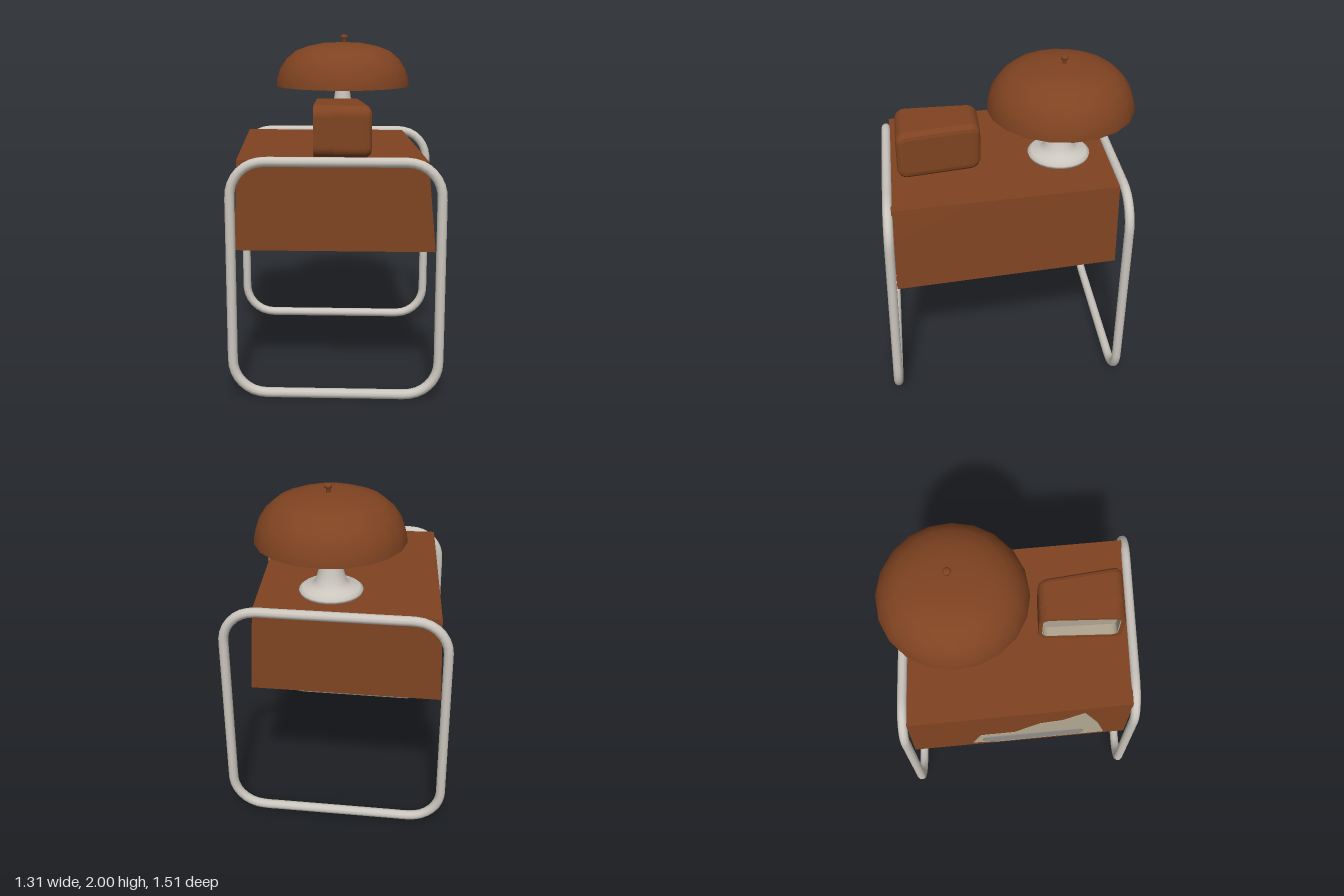
import * as THREE from 'three';

const mat = (name, color, side = THREE.FrontSide) => {
  const m = new THREE.MeshStandardMaterial({ color, side });
  m.name = name;
  return m;
};

const lerp = THREE.MathUtils.lerp;

// Rounded rectangle, usable as an outline or a hole
function roundRect(x0, y0, x1, y1, r, Type = THREE.Shape) {
  const s = new Type();
  s.moveTo(x0 + r, y0);
  s.lineTo(x1 - r, y0);
  s.absarc(x1 - r, y0 + r, r, -Math.PI / 2, 0);
  s.lineTo(x1, y1 - r);
  s.absarc(x1 - r, y1 - r, r, 0, Math.PI / 2);
  s.lineTo(x0 + r, y1);
  s.absarc(x0 + r, y1 - r, r, Math.PI / 2, Math.PI);
  s.lineTo(x0, y0 + r);
  s.absarc(x0 + r, y0 + r, r, Math.PI, Math.PI * 1.5);
  return s;
}

// Move every vertex by a rule
function warp(geo, rule) {
  const p = geo.attributes.position;
  const v = new THREE.Vector3();
  for (let i = 0; i < p.count; i++) {
    rule(v.fromBufferAttribute(p, i));
    p.setXYZ(i, v.x, v.y, v.z);
  }
  geo.computeVertexNormals();
  return geo;
}

// Shape drawn in (z, y), extruded toward -x, starting at x = start
function sideways(shape, start, depth, bevel = 0) {
  const geo = new THREE.ExtrudeGeometry(shape, {
    depth: depth - 2 * bevel, bevelEnabled: bevel > 0, bevelThickness: bevel,
    bevelSize: bevel, bevelOffset: -bevel, bevelSegments: 3, curveSegments: 5,
  });
  return geo.rotateY(-Math.PI / 2).translate(start - bevel, 0, 0);
}

// The cabinet is skewed in plan and narrows slightly to the top
const Y0 = 0.85, Y1 = 1.355, Z0 = -0.61, Z1 = 0.68;
function wallX(left, y, z) {
  const t = (z - Z0) / (Z1 - Z0), h = (y - Y0) / (Y1 - Y0);
  return left
    ? lerp(lerp(-0.6, -0.51, t), lerp(-0.585, -0.49, t), h)
    : lerp(lerp(0.49, 0.6, t), lerp(0.46, 0.55, t), h);
}

export function createModel() {
  const group = new THREE.Group();
  const brown = mat('brown', 0x7f4321);
  const brownThin = mat('brown shade', 0x7f4321, THREE.DoubleSide);
  const pale = mat('pale metal', 0xcbc6be);
  const beige = mat('beige', 0xb0a590);
  const grey = mat('grey', 0x8f8b85);

  const add = (name, geo, material, parent = group) => {
    const m = new THREE.Mesh(geo, material);
    m.name = name;
    parent.add(m);
    return m;
  };

  // Tubular leg frames at the front and back, leaning a little
  function legFrame(name, x0, x1, zBottom, zTop) {
    const pts = roundRect(x0, 0.03, x1, 1.35, 0.19).getSpacedPoints(72);
    pts.pop();
    const path = new THREE.CatmullRomCurve3(
      pts.map(p => new THREE.Vector3(p.x, p.y, lerp(zBottom, zTop, p.y / 1.35))), true);
    add(name, new THREE.TubeGeometry(path, 120, 0.028, 10, true), pale);
  }
  legFrame('frontFrame', -0.528, 0.627, 0.725, 0.7);
  legFrame('backFrame', -0.628, 0.627, -0.635, -0.638);

  // Cabinet
  add('cabinet', warp(new THREE.BoxGeometry(1, 1, 1), v => {
    const left = v.x < 0;
    v.y = v.y < 0 ? Y0 : Y1;
    v.z = v.z < 0 ? Z0 : Z1;
    v.x = wallX(left, v.y, v.z);
  }), brown);

  // Pale drawer panel and pull slot on the side wall
  const onWall = geo => warp(geo, v => { v.x += wallX(true, v.y, v.z); });
  const panel = new THREE.Shape([
    [-0.25, 0.9], [-0.1, 0.87], [0.55, 0.88], [0.5, 1.07], [0.41, 1.28],
    [0.28, 1.18], [0.15, 1.16], [0.0, 1.03], [-0.2, 1.03],
  ].map(([z, y]) => new THREE.Vector2(z, y)));
  add('drawerPanel', onWall(sideways(panel, 0.002, 0.005)), beige);
  add('drawerPull', onWall(sideways(roundRect(-0.19, 0.9, 0.42, 0.99, 0.044), 0, 0.008)), grey);

  // Table clock: deeper toward the front, with a recessed dial on the -x side
  const clock = new THREE.Group();
  clock.name = 'clock';
  group.add(clock);
  const skew = geo => warp(geo, v => {
    const t = (v.z - 0.15) / 0.48;
    v.x = -0.075 + (v.x + 0.075) * (0.25 + 0.075 * t) / 0.325;
  });
  const outline = () => roundRect(0.15, 1.355, 0.635, 1.645, 0.06);
  const ring = (inset, thick) => {
    const make = (d, T) => roundRect(0.15 + d, 1.355 + d, 0.635 - d, 1.645 - d, 0.065 - d, T);
    const s = make(inset, THREE.Shape);
    s.holes.push(make(inset + thick, THREE.Path));
    return s;
  };
  add('clockBody', skew(sideways(outline(), 0.25, 0.25, 0.04)), brown, clock);
  add('clockRim', skew(sideways(ring(0, 0.022), 0.05, 0.125)), brown, clock);
  add('clockLiner', skew(sideways(ring(0.02, 0.008), 0.02, 0.09)), beige, clock);
  add('clockDial', skew(sideways(roundRect(0.17, 1.375, 0.615, 1.625, 0.04), 0.001, 0.006)), beige, clock);
  const hands = [[0.39, 1.5, 0.14, 0.5], [0.39, 1.5, 0.09, 2.2]];
  hands.forEach(([z, y, len, angle], i) => {
    const hand = add('clockHand' + i, new THREE.BoxGeometry(0.006, 0.014, len), brown, clock);
    hand.position.set(-0.012, y + Math.sin(angle) * len / 2, z + Math.cos(angle) * len / 2);
    hand.rotation.x = -angle;
  });

  // Table lamp: flared foot, domed shade, finial
  const lamp = new THREE.Group();
  lamp.name = 'lamp';
  lamp.position.set(0.06, 0, -0.325);
  group.add(lamp);
  const lathe = (name, profile, sides, material) => add(name,
    new THREE.LatheGeometry(profile.map(([r, y]) => new THREE.Vector2(r, y)), sides), material, lamp);
  lathe('lampStem', [
    [0, 1.355], [0.18, 1.357], [0.185, 1.375], [0.165, 1.39], [0.115, 1.4], [0.088, 1.43],
    [0.072, 1.49], [0.06, 1.56], [0.046, 1.66], [0.036, 1.84], [0, 1.84],
  ], 24, pale);
  lathe('lampRod', [[0.025, 1.83], [0.022, 1.945]], 12, brown);
  lathe('lampShade', [
    [0.428, 1.68], [0.422, 1.73], [0.4, 1.79], [0.36, 1.85], [0.3, 1.9],
    [0.22, 1.93], [0.12, 1.95], [0, 1.952],
  ], 20, brownThin);
  lathe('lampFinial', [
    [0.012, 1.94], [0.012, 1.972], [0.022, 1.98], [0.023, 1.992], [0.014, 2.0], [0, 2.0],
  ], 12, brown).position.set(0.01, 0, -0.012);

  return group;
}
